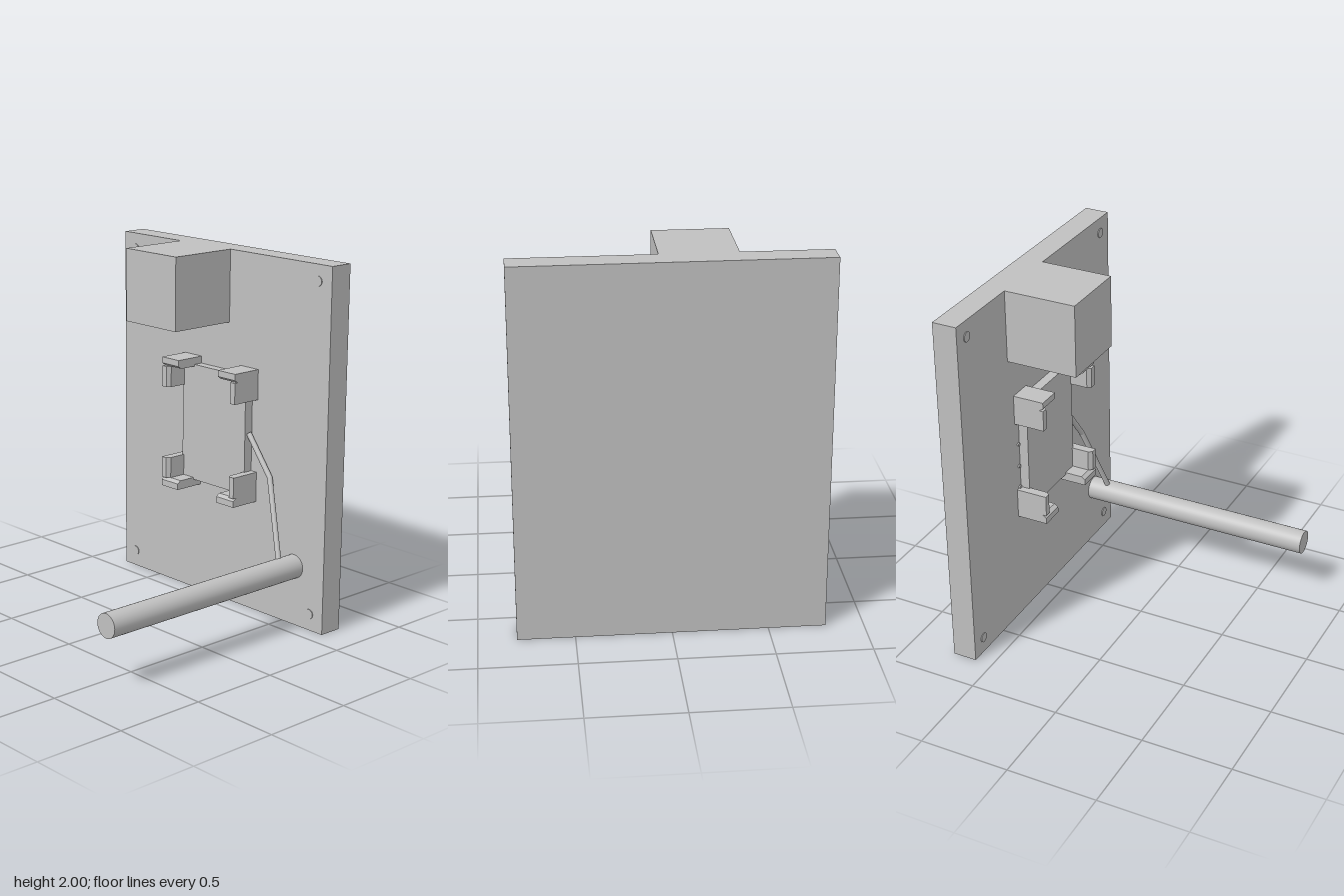
import * as THREE from 'three';

const FACE = -0.6; // z of the board's front surface

export function createModel() {
  const model = new THREE.Group();
  model.name = 'wallPanelAssembly';
  const grey = new THREE.MeshStandardMaterial({ color: 0xc0c0c0 });
  grey.name = 'grey';

  function add(name, geometry, parent = model) {
    const mesh = new THREE.Mesh(geometry, grey);
    mesh.name = name;
    parent.add(mesh);
    return mesh;
  }

  // Box given by its limits on each axis
  function box(name, x0, x1, y0, y1, z0, z1) {
    const mesh = add(name, new THREE.BoxGeometry(x1 - x0, y1 - y0, z1 - z0));
    mesh.position.set((x0 + x1) / 2, (y0 + y1) / 2, (z0 + z1) / 2);
  }

  // Cylinder pointing forward from the board
  function peg(name, x, y, radius, length, sides) {
    const geometry = new THREE.CylinderGeometry(radius, radius, length, sides);
    geometry.rotateX(Math.PI / 2);
    add(name, geometry).position.set(x, y, FACE + length / 2);
  }

  box('backBoard', -0.8, 0.8, 0, 2, -0.735, FACE);
  box('upperBlock', -0.335, 0.06, 1.6, 2, FACE, -0.2);
  box('centrePlate', -0.25, 0.245, 0.67, 1.335, FACE, -0.547);
  peg('rod', 0.583, 0.335, 0.066, 1.335, 40);

  // Rail with a bevelled inner front edge: u is thickness (0 = inside), v is depth
  function rail(length) {
    const thick = 0.05, depth = 0.175, bevel = 0.022;
    const profile = new THREE.Shape([
      new THREE.Vector2(0, 0), new THREE.Vector2(thick, 0),
      new THREE.Vector2(thick, depth), new THREE.Vector2(bevel * 0.7, depth),
      new THREE.Vector2(0, depth - bevel),
    ]);
    return new THREE.ExtrudeGeometry(profile, { depth: length, bevelEnabled: false });
  }

  // Four corner brackets, each a horizontal and an upright rail
  const axis = (x, y, z) => new THREE.Vector3(x, y, z);
  for (const sx of [-1, 1]) {
    for (const sy of [-1, 1]) {
      const bracket = new THREE.Group();
      bracket.name = (sy > 0 ? 'upper' : 'lower') + (sx > 0 ? 'Left' : 'Right') + 'Bracket';
      const cx = -0.002, cy = 1.003;

      // Horizontal rail: thickness along y, extruded along x
      const h = rail(0.132);
      h.applyMatrix4(new THREE.Matrix4().makeBasis(
        axis(0, sy, 0), axis(0, 0, 1), axis(sy, 0, 0)));
      h.translate(sx * 0.222 - sy * 0.066, 0, 0);
      add('horizontalRail', h, bracket).position.set(cx, cy + sy * 0.322, FACE);

      // Upright rail: thickness along x, extruded along y
      const v = rail(0.118);
      v.applyMatrix4(new THREE.Matrix4().makeBasis(
        axis(sx, 0, 0), axis(0, 0, 1), axis(0, -sx, 0)));
      v.translate(0, sy * 0.263 + sx * 0.059, 0);
      add('uprightRail', v, bracket).position.set(cx + sx * 0.238, cy, FACE);
      model.add(bracket);
    }
  }

  // Bent cable from the plate to the rod
  const path = [axis(0.245, 1.015, -0.578), axis(0.41, 0.8, -0.578), axis(0.585, 0.34, -0.487)];
  const radius = 0.015;
  for (let i = 0; i < 2; i++) {
    const run = new THREE.LineCurve3(path[i], path[i + 1]);
    const length = run.getLength();
    const segment = add('cableSegment', new THREE.CylinderGeometry(radius, radius, length, 20));
    segment.position.copy(run.getPoint(0.5));
    segment.quaternion.setFromUnitVectors(axis(0, 1, 0), run.getTangent(0));
  }
  add('cableElbow', new THREE.SphereGeometry(radius, 16, 12)).position.copy(path[1]);

  // Flat fastener heads in the board's corners
  for (const x of [-0.71, 0.705]) {
    for (const y of [0.093, 1.912]) peg('fastener', x, y, 0.027, 0.005, 24);
  }

  // Row of small studs beside the plate
  for (const y of [0.805, 0.935, 1.07, 1.2]) peg('stud', -0.263, y, 0.01, 0.008, 16);

  return model;
}
